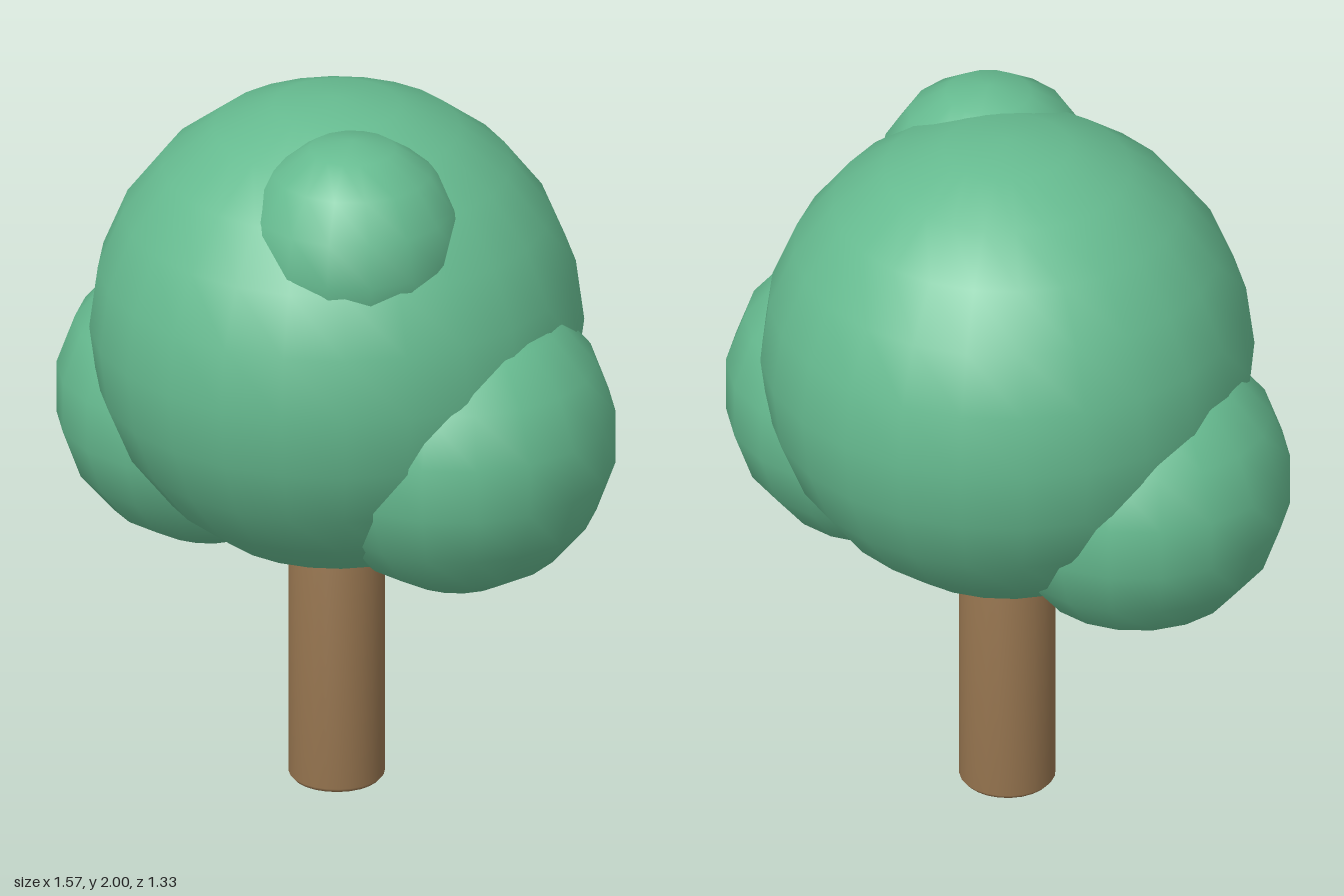
import * as THREE from 'three';

export function createModel() {
  const leafGreen = new THREE.MeshStandardMaterial({ color: 0x66bb90 });
  leafGreen.name = 'leafGreen';
  const barkBrown = new THREE.MeshStandardMaterial({ color: 0x94734e });
  barkBrown.name = 'barkBrown';

  const tree = new THREE.Group();
  tree.name = 'tree';

  // Trunk: a round post with a slightly bevelled foot, ending inside the crown
  const profile = [[0, 0], [0.12, 0], [0.13, 0.012], [0.13, 0.85], [0, 0.85]]
    .map(([r, y]) => new THREE.Vector2(r, y));
  const trunk = new THREE.Mesh(new THREE.LatheGeometry(profile, 24), barkBrown);
  trunk.name = 'trunk';
  tree.add(trunk);

  // Foliage: one big ball with three smaller ones sunk into it
  const addBall = (name, radius, segments, x, y, z) => {
    const geometry = new THREE.SphereGeometry(radius, segments, segments / 2);
    geometry.rotateY(Math.PI / 2);
    const ball = new THREE.Mesh(geometry, leafGreen);
    ball.name = name;
    ball.position.set(x, y, z);
    tree.add(ball);
  };
  addBall('crown', 0.667, 24, 0, 1.333, 0);
  addBall('leftFoliage', 0.433, 18, 0.365, 1.103, 0.138);
  addBall('rightFoliage', 0.417, 18, -0.38, 1.047, -0.115);
  addBall('topFoliage', 0.305, 16, 0.105, 1.695, 0.27);

  return tree;
}
